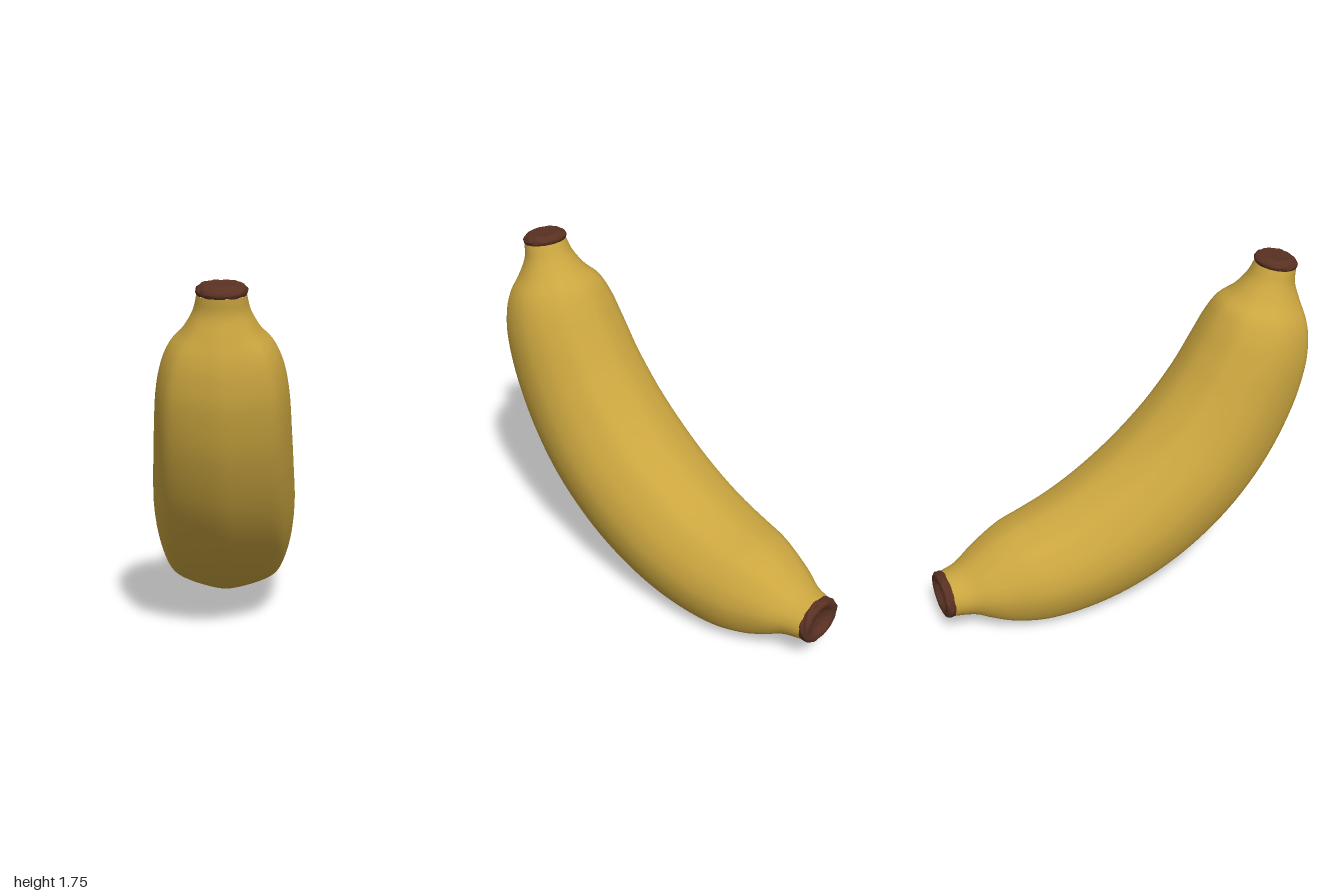
import * as THREE from 'three';

// Stations along the fruit: outer edge (z, y), inner edge (z, y), half width
const PEEL = [
  [0.945, 1.675, 0.745, 1.705, 0.107], [0.94, 1.6, 0.705, 1.635, 0.125],
  [0.965, 1.51, 0.635, 1.565, 0.17], [0.99, 1.42, 0.56, 1.515, 0.23],
  [1.0, 1.32, 0.5, 1.43, 0.27], [0.99, 1.18, 0.43, 1.31, 0.295],
  [0.93, 0.96, 0.33, 1.155, 0.31], [0.8, 0.7, 0.2, 0.995, 0.325],
  [0.62, 0.47, 0.07, 0.865, 0.337], [0.4, 0.275, -0.07, 0.755, 0.337],
  [0.17, 0.135, -0.22, 0.66, 0.33], [-0.07, 0.045, -0.36, 0.59, 0.32],
  [-0.3, 0.005, -0.5, 0.54, 0.305], [-0.5, 0.0, -0.61, 0.51, 0.28],
  [-0.66, 0.03, -0.7, 0.47, 0.24], [-0.77, 0.075, -0.79, 0.415, 0.2],
  [-0.85, 0.108, -0.88, 0.36, 0.155], [-0.957, 0.125, -0.957, 0.34, 0.13],
];
// Dry tip: closed from its domed centre down to the peel
const TIP = [
  [0.846, 1.732, 0.844, 1.732, 0.001], [0.89, 1.729, 0.8, 1.737, 0.05],
  [0.915, 1.728, 0.775, 1.742, 0.08], [0.94, 1.71, 0.748, 1.732, 0.103],
  [0.951, 1.69, 0.74, 1.72, 0.112], [0.945, 1.675, 0.745, 1.703, 0.107],
];
// Cut stem: rim around a shallow hollow
const STEM = [
  [-0.955, 0.124, -0.955, 0.341, 0.131], [-0.975, 0.122, -0.975, 0.341, 0.132],
  [-0.995, 0.13, -0.995, 0.334, 0.126], [-0.997, 0.155, -0.997, 0.31, 0.097],
  [-0.975, 0.185, -0.975, 0.28, 0.06], [-0.965, 0.231, -0.965, 0.233, 0.001],
];

// Half of the ridged cross-section (x, outer -1 to inner +1), mirrored below
const HALF = [[0, -1], [0.42, -0.91], [0.72, -0.78], [0.86, -0.62], [0.97, -0.3], [1, 0.05], [0.9, 0.42], [0.64, 0.79], [0.32, 0.94], [0, 1]];
const SECTION = new THREE.CatmullRomCurve3(
  [...HALF, ...HALF.slice(1, -1).reverse().map(([x, u]) => [-x, u])].map(([x, u]) => new THREE.Vector3(x, u, 0)),
  true, 'catmullrom', 0.45);

// Skin a smooth tube through the stations
function loft(stations, stepsPerStation, roughness = 0) {
  const outer = new THREE.CatmullRomCurve3(stations.map(([z, y, , , w]) => new THREE.Vector3(w, y, z)), false, 'catmullrom', 0.5);
  const inner = new THREE.CatmullRomCurve3(stations.map(([, , z, y]) => new THREE.Vector3(0, y, z)), false, 'catmullrom', 0.5);
  const rows = (stations.length - 1) * stepsPerStation;
  const sides = 72;
  const positions = [], indices = [];
  for (let i = 0; i <= rows; i++) {
    const o = outer.getPoint(i / rows), n = inner.getPoint(i / rows);
    // The section turns from round at the ends to ridged in the body
    const ridged = 0.15 + 0.85 * THREE.MathUtils.smoothstep(o.x, 0.11, 0.24);
    for (let j = 0; j < sides; j++) {
      const s = SECTION.getPoint(j / sides);
      const a = Math.atan2(s.x, -s.y);
      const x = THREE.MathUtils.lerp(Math.sin(a), s.x, ridged);
      const u = THREE.MathUtils.lerp(-Math.cos(a), s.y, ridged);
      const bump = roughness * Math.min(1, o.x * 10) * (Math.sin(a * 7 + i) + Math.sin(a * 11 - i * 0.7));
      const k = (u + 1) / 2;
      positions.push(x * (o.x + bump), o.y + (n.y - o.y) * k + bump, o.z + (n.z - o.z) * k);
      if (i < rows) {
        const p = i * sides + j, q = i * sides + (j + 1) % sides;
        indices.push(p, p + sides, q, q, p + sides, q + sides);
      }
    }
  }
  const geometry = new THREE.BufferGeometry();
  geometry.setAttribute('position', new THREE.Float32BufferAttribute(positions, 3));
  geometry.setIndex(indices);
  geometry.computeVertexNormals();
  return geometry;
}

export function createModel() {
  const yellow = new THREE.MeshStandardMaterial({ name: 'peelYellow', color: 0xcaa53f });
  const brown = new THREE.MeshStandardMaterial({ name: 'stemBrown', color: 0x593122 });
  const model = new THREE.Group();
  model.name = 'banana';
  const add = (name, geometry, material) => {
    const mesh = new THREE.Mesh(geometry, material);
    mesh.name = name;
    model.add(mesh);
  };
  add('peel', loft(PEEL, 5), yellow);
  add('driedTip', loft(TIP, 4, 0.0012), brown);
  add('cutStem', loft(STEM, 4, 0.002), brown);
  return model;
}
